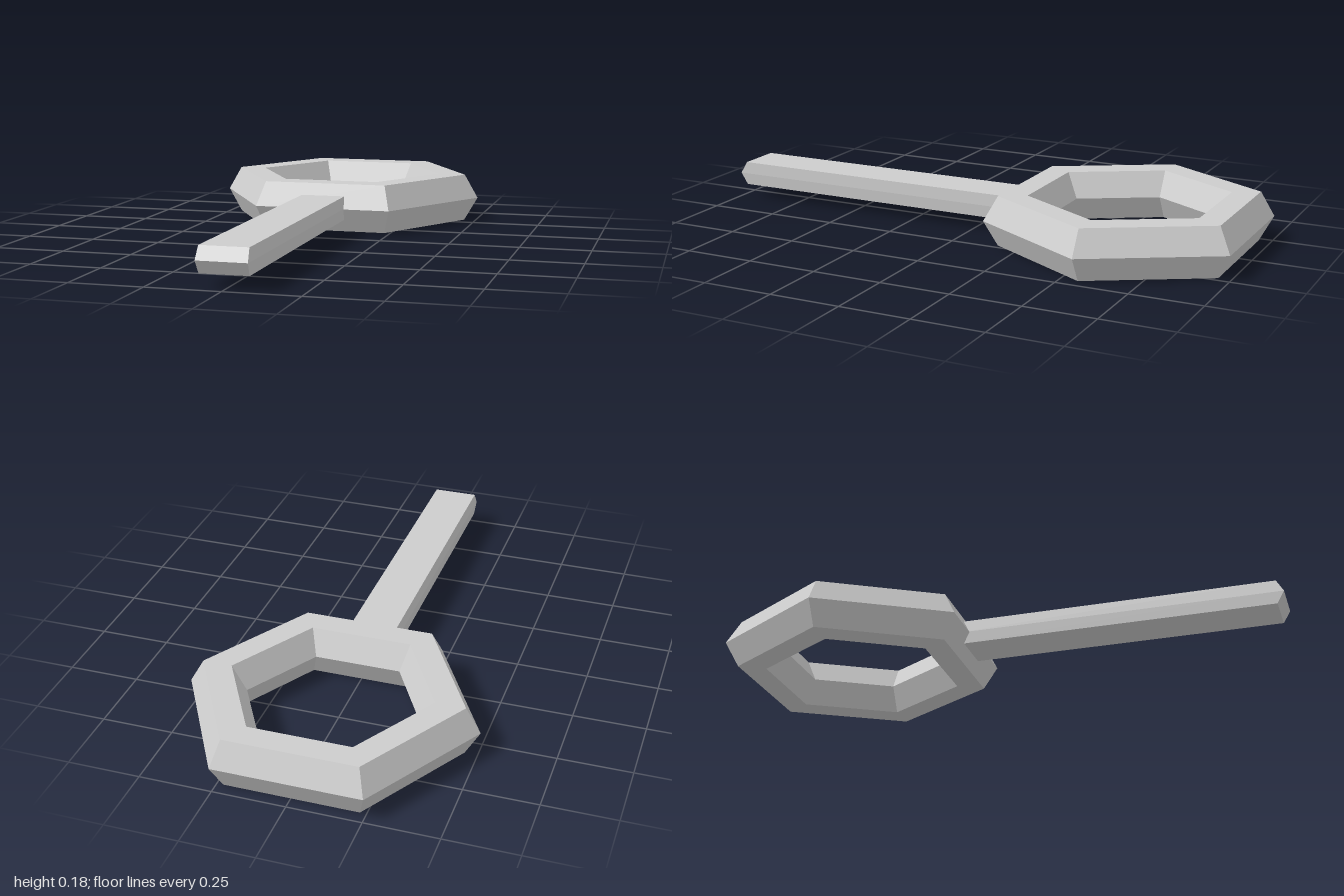
import * as THREE from 'three';

const MID_Y = 0.0885;

export function createModel() {
  const group = new THREE.Group();
  const grey = new THREE.MeshStandardMaterial({ color: 0xcccccc, flatShading: true });
  grey.name = 'lightGrey';

  // Six-sided ring with a hexagonal section, lying flat
  const ringGeometry = new THREE.TorusGeometry(0.405, 0.102, 6, 6).toNonIndexed();
  ringGeometry.rotateX(-Math.PI / 2);
  ringGeometry.computeVertexNormals();
  const ring = new THREE.Mesh(ringGeometry, grey);
  ring.name = 'ring';
  ring.position.set(0, MID_Y, -0.561);
  group.add(ring);

  // Flat bar handle whose middle row bulges slightly at the sides and comes to an edge at the tip
  const back = -0.2, tip = 0.975;
  let handleGeometry = new THREE.BoxGeometry(0.162, 0.087, tip - back, 1, 2, 1);
  handleGeometry.translate(0, 0, (tip + back) / 2);
  const pos = handleGeometry.attributes.position;
  for (let i = 0; i < pos.count; i++) {
    if (Math.abs(pos.getY(i)) > 0.001) continue;
    pos.setX(i, Math.sign(pos.getX(i)) * 0.084);
    if (pos.getZ(i) > 0) pos.setZ(i, 1);
  }
  handleGeometry = handleGeometry.toNonIndexed();
  handleGeometry.computeVertexNormals();
  const handle = new THREE.Mesh(handleGeometry, grey);
  handle.name = 'handle';
  handle.position.y = MID_Y + 0.002;
  group.add(handle);

  return group;
}
